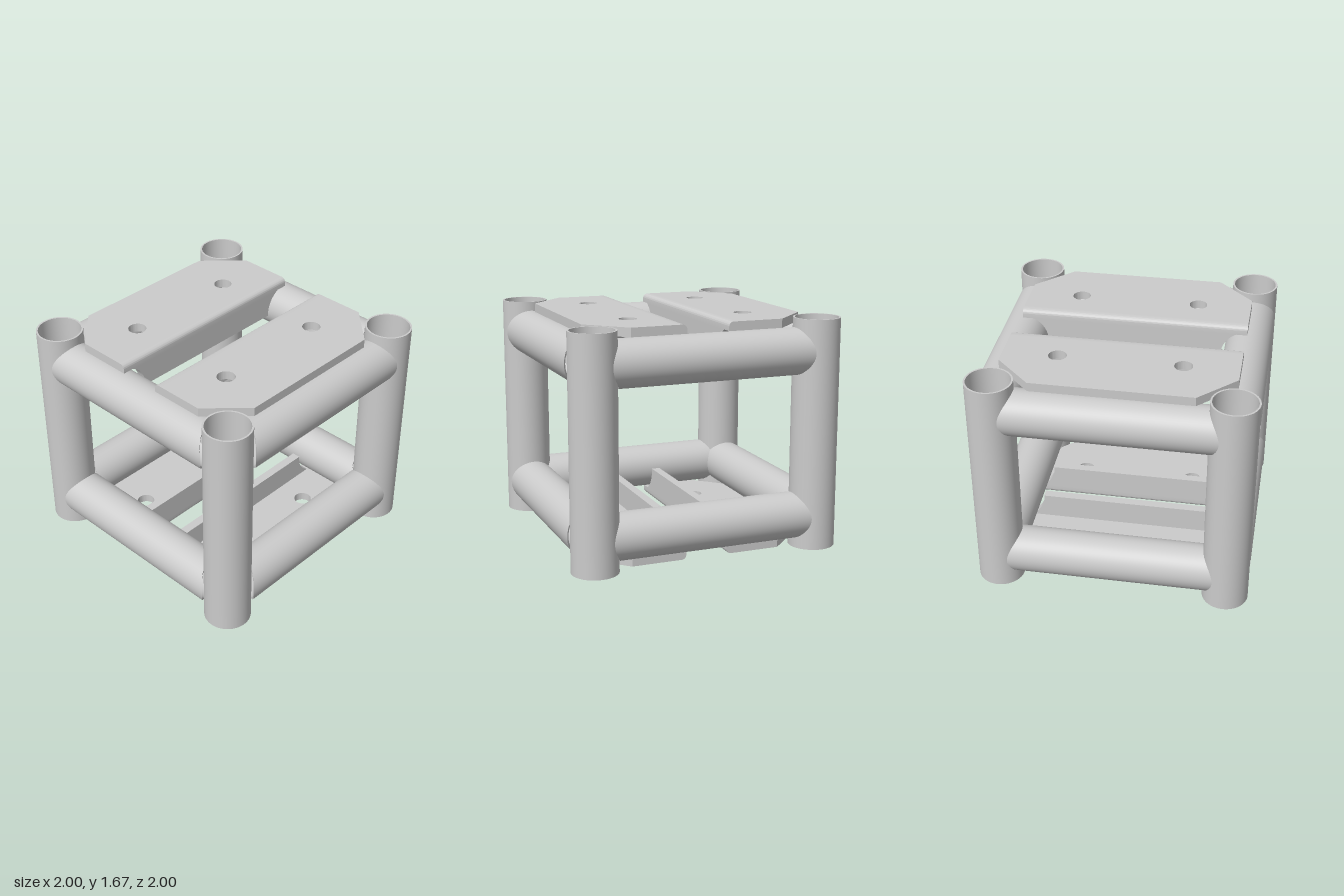
import * as THREE from 'three';
import { toCreasedNormals } from 'three/addons/utils/BufferGeometryUtils.js';

const H = 1.67;            // overall height
const C = 0.832;           // distance of tube axes from the centre
const RO = 0.168, RI = 0.155;
const T = 0.065;           // plate thickness
const W = 0.83;            // half width of a plate
const GAP = 0.155;         // half of the slot between two plates
const RAIL_Y = 0.235;      // height of the lower rails

const material = new THREE.MeshStandardMaterial({ color: 0xcccccc });

function part(name, geometry) {
  const mesh = new THREE.Mesh(geometry, material);
  mesh.name = name;
  return mesh;
}

// Open hollow tube along y, centred on the origin
function tube(half) {
  const profile = [[RI, -half], [RO, -half], [RO, half], [RI, half], [RI, -half]];
  return new THREE.LatheGeometry(profile.map(([x, y]) => new THREE.Vector2(x, y)), 64);
}

// Tube along x whose ends are hollowed to saddle the posts
function railGeometry() {
  const g = tube(1).rotateZ(Math.PI / 2);
  const p = g.attributes.position;
  const saddle = 0.215;
  for (let i = 0; i < p.count; i++) {
    const z = p.getZ(i);
    const end = C - RO + saddle - Math.sqrt(saddle * saddle - z * z);
    p.setX(i, Math.sign(p.getX(i)) * end);
  }
  return toCreasedNormals(g, 0.6);
}

function polygon(points) {
  return new THREE.Shape(points.map(([x, y]) => new THREE.Vector2(x, y)));
}

function extrude(shape, depth) {
  const g = new THREE.ExtrudeGeometry(shape, { depth, bevelEnabled: false, curveSegments: 24 });
  return toCreasedNormals(g, 0.5);
}

// Flat part with clipped outer corners and two bolt holes
function plateGeometry() {
  const s = polygon([[-W, GAP + T], [W, GAP + T], [W, 0.56], [0.57, 0.822], [-0.57, 0.822], [-W, 0.56]]);
  for (const x of [-0.44, 0.44]) {
    const hole = new THREE.Path();
    hole.absarc(x, 0.44, 0.065, 0, Math.PI * 2, true);
    s.holes.push(hole);
  }
  return extrude(s, T).rotateX(Math.PI / 2).translate(0, T, 0);
}

// Rounded bend that joins plate and flange
function bendGeometry() {
  const r = 0.035, s = new THREE.Shape();
  s.moveTo(GAP + T, 0);
  s.lineTo(GAP + T, T);
  s.lineTo(GAP, T);
  s.lineTo(GAP, r);
  s.absarc(GAP + r, r, r, Math.PI, Math.PI * 1.5, false);
  s.closePath();
  return extrude(s, 2 * W).rotateY(-Math.PI / 2).translate(W, 0, 0);
}

// Upright flange, cut round the side rails at both ends
function flangeGeometry() {
  const r = 0.19, top = 0.25;
  const right = [];
  for (let i = 0; i <= 12; i++) {
    const y = T + (top - T) * i / 12;
    right.push([C - Math.sqrt(r * r - (y - RAIL_Y) ** 2), y]);
  }
  const left = right.map(([x, y]) => [-x, y]).reverse();
  return extrude(polygon([...right, ...left]), T).translate(0, 0, GAP);
}

export function createModel() {
  const model = new THREE.Group();
  model.name = 'tubeFrame';

  // Corner posts
  const post = toCreasedNormals(tube(H / 2), 0.6);
  for (const x of [-C, C]) for (const z of [-C, C]) {
    const m = part('post', post);
    m.position.set(x, H / 2, z);
    model.add(m);
  }

  // Upper and lower rails on all four sides
  const rail = railGeometry();
  for (const y of [RAIL_Y, H - RAIL_Y]) for (const side of [-C, C]) {
    const cross = part('crossRail', rail);
    cross.position.set(0, y, side);
    const long = part('sideRail', rail);
    long.position.set(side, y, 0);
    long.rotation.y = Math.PI / 2;
    model.add(cross, long);
  }

  // Two flanged plates underneath and two on top
  const pieces = { plate: plateGeometry(), bend: bendGeometry(), flange: flangeGeometry() };
  for (const top of [false, true]) for (const back of [false, true]) {
    const g = new THREE.Group();
    g.name = (top ? 'top' : 'bottom') + (back ? 'Back' : 'Front') + 'Plate';
    for (const [name, geometry] of Object.entries(pieces)) g.add(part(name, geometry));
    g.rotation.set(0, back ? Math.PI : 0, top ? Math.PI : 0, 'ZYX');
    g.position.y = top ? H : 0;
    model.add(g);
  }
  return model;
}
